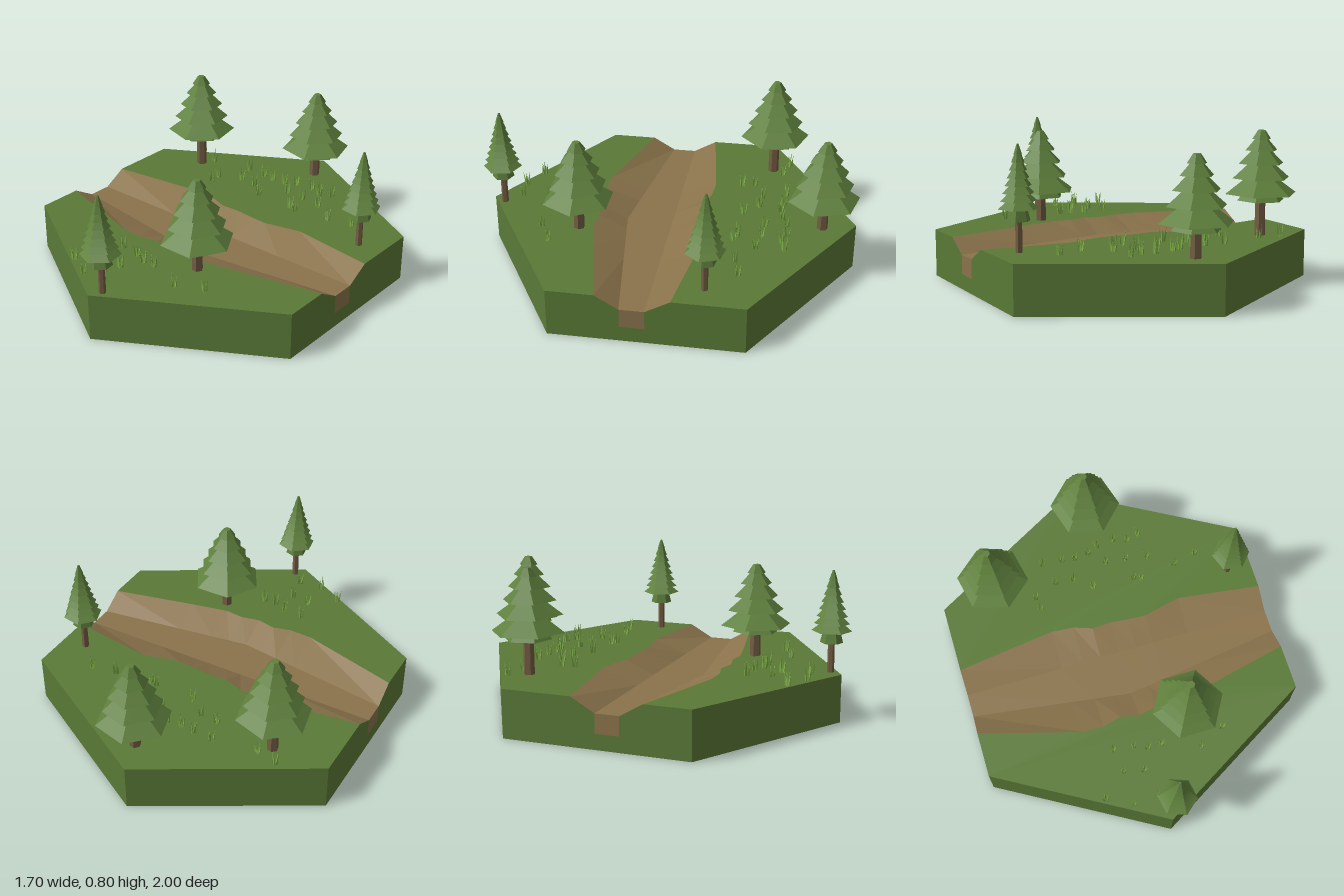
import * as THREE from 'three';
import { mergeGeometries } from 'three/addons/utils/BufferGeometryUtils.js';

const mat = (name, color, opts = {}) => {
  const m = new THREE.MeshStandardMaterial({ color, flatShading: true, ...opts });
  m.name = name;
  return m;
};
const V = (x, y, z) => new THREE.Vector3(x, y, z);
const TOP = 0.25, BED = 0.18, W = 0.85;

// Seeded random numbers for the grass
let seed = 7;
const rand = () => (seed = (seed * 16807) % 2147483647) / 2147483647;

export function createModel() {
  const model = new THREE.Group();
  const grassGround = mat('ground green', 0x5a7a37);
  const dirt = mat('path brown', 0x8a734b);
  const bark = mat('bark brown', 0x735d43);
  const needles = mat('needle green', 0x5e7f3c);
  const blade = mat('grass green', 0x7fae48);

  const add = (name, geometry, material, parent = model) => {
    const mesh = new THREE.Mesh(geometry, material);
    mesh.name = name;
    parent.add(mesh);
    return mesh;
  };

  // Surface between two polylines of equal length
  const strip = (a, b) => {
    const pos = [];
    for (let i = 0; i < a.length - 1; i++) {
      for (const p of [a[i], b[i], b[i + 1], a[i], b[i + 1], a[i + 1]]) pos.push(p.x, p.y, p.z);
    }
    const g = new THREE.BufferGeometry();
    g.setAttribute('position', new THREE.Float32BufferAttribute(pos, 3));
    g.computeVertexNormals();
    return g;
  };
  const flat = (pts) => new THREE.ShapeGeometry(new THREE.Shape(pts.map(([x, y]) => new THREE.Vector2(x, y))));

  // Sunken path: rim, bed and sloping banks along x
  const xs = [-W, -0.32, -0.2, -0.1, 0, 0.1, 0.2, 0.4, W];
  const farZ = [-0.14, -0.21, -0.2, -0.165, -0.17, -0.16, -0.155, -0.2, -0.14];
  const nearZ = [0.23, 0.38, 0.385, 0.36, 0.38, 0.36, 0.37, 0.33, 0.23];
  const line = (y, z) => xs.map((x, i) => V(x, y, z(x, i)));
  const farRim = line(TOP, (x, i) => farZ[i]);
  const nearRim = line(TOP, (x, i) => nearZ[i]);
  const bedFar = line(BED, () => -0.015);
  const bedNear = line(BED, (x) => 0.23 - 0.12 * Math.abs(x) / W);
  add('backBank', strip(farRim, bedFar), dirt);
  add('pathBed', strip(bedFar, bedNear), dirt);
  add('frontBank', strip(bedNear, nearRim), dirt);

  // Lawns on either side of the path
  const backEdge = [[-W, -0.505], [0, -0.99], [W, -0.505]];
  const frontEdge = [[-W, 0.47], [0, 0.965], [W, 0.47]];
  const lawn = (name, edge, rim) => {
    const pts = [...edge, ...[...rim].reverse().map((p) => [p.x, p.z])];
    add(name, flat(pts.map(([x, z]) => [x, -z])).rotateX(-Math.PI / 2).translate(0, TOP, 0), grassGround);
  };
  lawn('backLawn', backEdge, farRim);
  lawn('frontLawn', frontEdge, nearRim);

  // Slab sides and underside
  const wall = (edge) => strip(edge.map(([x, z]) => V(x, TOP, z)), edge.map(([x, z]) => V(x, 0, z)));
  add('frontSides', wall(frontEdge), grassGround);
  add('backSides', wall([...backEdge].reverse()), grassGround);
  add('underside', flat([...frontEdge, ...[...backEdge].reverse()]).rotateX(Math.PI / 2), grassGround);

  // End faces with the path's cut showing as a brown block
  for (const s of [1, -1]) {
    const end = [[0.47, 0], [0.47, TOP], [0.23, TOP], [0.11, BED], [0.11, 0.08],
      [-0.015, 0.08], [-0.015, BED], [-0.14, TOP], [-0.505, TOP], [-0.505, 0]];
    const cut = [[0.11, 0.08], [0.11, BED], [-0.015, BED], [-0.015, 0.08]];
    const place = (pts) => flat(pts.map(([z, y]) => [-s * z, y])).rotateY(s * Math.PI / 2).translate(s * W, 0, 0);
    add('endFace', place(end), grassGround);
    add('pathCut', place(cut), dirt);
  }

  // Tiered conifer; each tier is [rim height, rim radius, top height, top radius]
  const tree = (name, x, z, turn, lift, trunkR, tiers) => {
    const g = new THREE.Group();
    g.name = name;
    g.position.set(x, TOP, z);
    g.rotation.y = THREE.MathUtils.degToRad(turn);
    const trunkH = tiers[1][0] + lift - TOP + 0.02;
    add('trunk', new THREE.CylinderGeometry(trunkR * 0.92, trunkR, trunkH, 6).translate(0, trunkH / 2, 0), bark, g);
    const parts = tiers.map(([y0, r0, y1, r1]) =>
      new THREE.CylinderGeometry(r1, r0, y1 - y0, 6).translate(0, (y0 + y1) / 2 + lift - TOP, 0));
    add('foliage', mergeGeometries(parts), needles, g);
    model.add(g);
  };
  const broad = [
    [0.385, 0.125, 0.45, 0.07], [0.42, 0.19, 0.505, 0.075], [0.5, 0.152, 0.58, 0.06],
    [0.575, 0.12, 0.648, 0.045], [0.643, 0.085, 0.705, 0.03], [0.7, 0.05, 0.745, 0.02],
  ];
  const slim = [[0.405, 0.058, 0.48, 0.04]];
  for (let i = 0; i < 8; i++) {
    const y = 0.465 + i * 0.037, r = 0.102 - i * 0.0115;
    slim.push([y, r, y + 0.042, r * 0.5]);
  }
  slim[8][2] = 0.775;
  slim[8][3] = 0.005;
  tree('leftBackTree', -0.55, -0.51, 12, 0.05, 0.029, broad);
  tree('backTree', 0.05, -0.815, 16, 0, 0.029, broad);
  tree('frontTree', 0.24, 0.44, 30, 0, 0.029, broad);
  tree('frontSlimTree', 0.035, 0.9, 10, 0, 0.018, slim);
  tree('rightSlimTree', 0.715, -0.285, 20, 0, 0.018, slim);

  // Grass tufts of leaning pointed blades
  const tufts = [
    [-0.26, -0.605], [-0.15, -0.6], [-0.08, -0.59], [0, -0.6], [0.06, -0.63], [0.16, -0.64],
    [0.23, -0.615], [0.3, -0.635], [-0.22, -0.48], [-0.12, -0.47], [0.08, -0.52], [0.19, -0.51],
    [0.31, -0.49], [-0.35, -0.425], [-0.34, -0.355], [-0.03, -0.395], [0.2, -0.385], [0.24, -0.37],
    [0.44, -0.4], [0.57, -0.43], [-0.61, -0.6], [-0.5, -0.57], [-0.19, 0.525], [-0.08, 0.535],
    [-0.01, 0.565], [0.06, 0.565], [-0.17, 0.65], [-0.065, 0.675], [0.26, 0.635], [0.4, 0.57],
    [-0.3, 0.765], [-0.17, 0.83], [-0.04, 0.82],
  ];
  const blades = [];
  for (const [x, z] of tufts) {
    for (let i = 0; i < 6; i++) {
      const a = i * Math.PI / 3 + rand(), h = 0.05 + 0.032 * rand();
      blades.push(new THREE.ConeGeometry(0.006, h, 3).translate(0, h / 2, 0)
        .rotateZ(-0.06 - 0.12 * rand()).translate(0.009, 0, 0).rotateY(a).translate(x, TOP - 0.002, z));
    }
  }
  add('grassTufts', mergeGeometries(blades), blade);
  return model;
}
